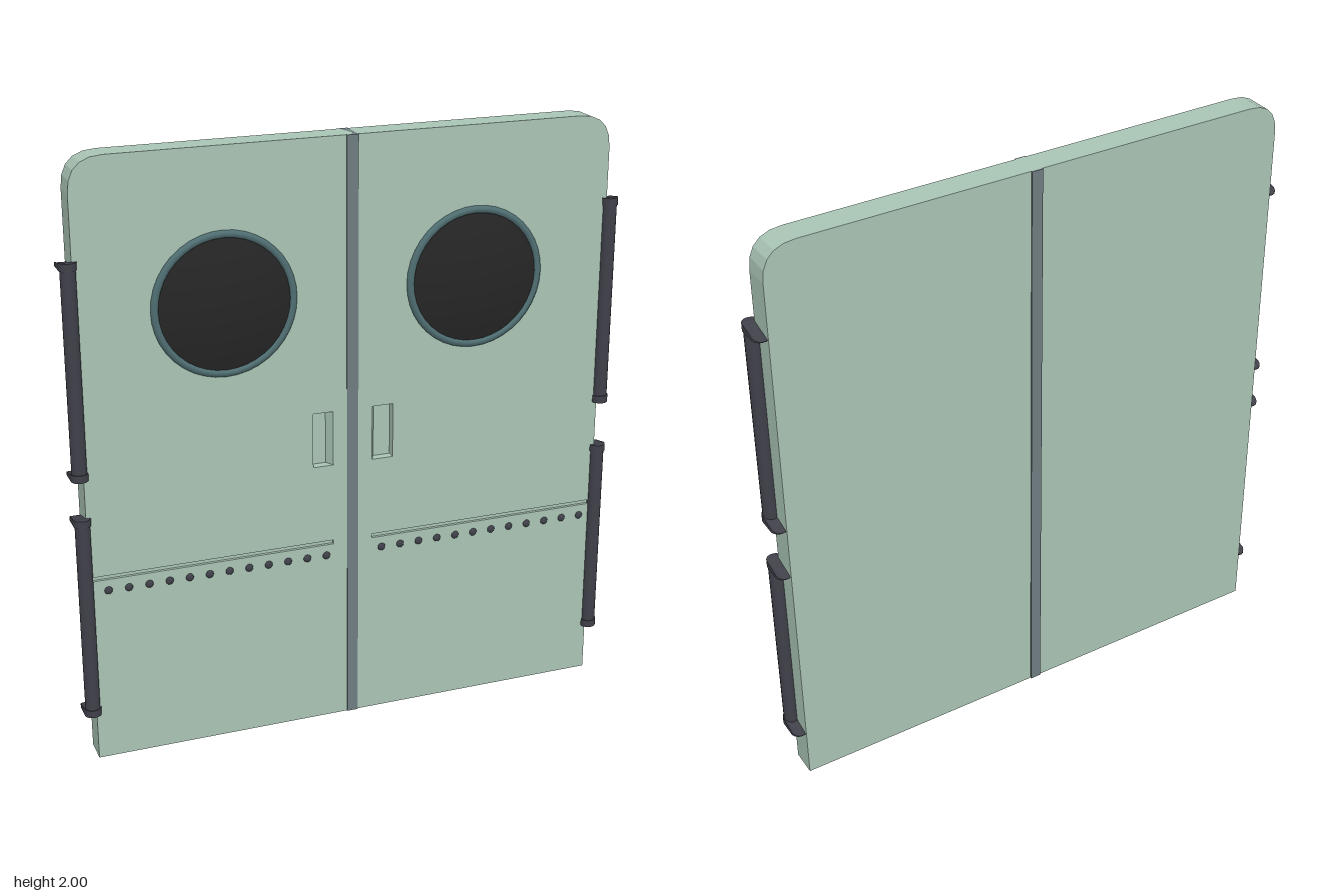
import * as THREE from 'three';

const mat = (color, extra = {}) => new THREE.MeshStandardMaterial({ color, ...extra });

export function createModel() {
  const group = new THREE.Group();
  group.name = 'doubleDoor';
  const paint = mat(0xa9c4b5, { flatShading: true });
  const seamMat = mat(0x6e7d80);
  const rimMat = mat(0x4f6e72);
  const glassMat = mat(0x262626);
  const metal = mat(0x40404a);

  const add = (name, geometry, material, x = 0, y = 0, z = 0, parent = group) => {
    const mesh = new THREE.Mesh(geometry, material);
    mesh.name = name;
    mesh.position.set(x, y, z);
    parent.add(mesh);
    return mesh;
  };

  // Door outline with rounded top corners
  const W = 0.888, R = 0.11;
  const outline = () => {
    const s = new THREE.Shape();
    s.moveTo(-W, 0);
    s.lineTo(W, 0);
    s.lineTo(W, 2 - R);
    s.quadraticCurveTo(W, 2, W - R, 2);
    s.lineTo(-W + R, 2);
    s.quadraticCurveTo(-W, 2, -W, 2 - R);
    s.closePath();
    return s;
  };
  const rectHole = (x0, x1, y0, y1) => {
    const p = new THREE.Path();
    p.moveTo(x0, y0);
    p.lineTo(x0, y1);
    p.lineTo(x1, y1);
    p.lineTo(x1, y0);
    p.closePath();
    return p;
  };

  // Front skin is pierced by handle pockets and grooves; back slab closes them
  const front = outline();
  front.holes.push(
    rectHole(-0.135, -0.066, 0.92, 1.105), rectHole(0.069, 0.142, 0.92, 1.105),
    rectHole(-0.88, -0.066, 0.638, 0.652), rectHole(0.069, 0.88, 0.638, 0.652));
  const slab = (shape, depth) =>
    new THREE.ExtrudeGeometry(shape, { depth, bevelEnabled: false, curveSegments: 5 });
  add('doorFront', slab(front, 0.03), paint);
  add('doorBack', slab(outline(), 0.06), paint, 0, 0, -0.06);

  // Centre seam
  add('centreSeam', new THREE.BoxGeometry(0.038, 2, 0.099), seamMat, 0, 1, -0.0155);

  const rimProfile = [[0.212, 0], [0.212, 0.008], [0.218, 0.014], [0.228, 0.014], [0.235, 0.006], [0.235, 0]]
    .map(([r, h]) => new THREE.Vector2(r, h)).reverse();
  const glassProfile = [];
  for (let i = 0; i <= 8; i++) {
    const r = 0.214 * (1 - i / 8);
    glassProfile.push(new THREE.Vector2(r, 0.007 + 0.026 * (1 - (r / 0.214) ** 2)));
  }
  const turned = (profile) => new THREE.LatheGeometry(profile, 40).rotateX(Math.PI / 2);

  // Cap with a stadium plan whose rear half tapers to a thin edge
  const capGeometry = () => {
    const s = new THREE.Shape();
    s.absarc(0, 0.0275, 0.0275, 0, Math.PI, false);
    s.absarc(0, -0.0275, 0.0275, Math.PI, 2 * Math.PI, false);
    s.closePath();
    const g = new THREE.ExtrudeGeometry(s, { depth: 0.025, bevelEnabled: false, curveSegments: 10 });
    g.rotateX(-Math.PI / 2);
    g.scale(1, 1, -1);
    // Restore the winding after the mirror
    const p = g.attributes.position;
    for (let i = 0; i < p.count; i += 3) {
      const a = [p.getX(i), p.getY(i), p.getZ(i)];
      p.setXYZ(i, p.getX(i + 1), p.getY(i + 1), p.getZ(i + 1));
      p.setXYZ(i + 1, ...a);
    }
    for (let i = 0; i < p.count; i++) {
      const z = p.getZ(i);
      if (p.getY(i) > 0.01 && z < 0) p.setY(i, Math.max(0.002, 0.025 + z * 0.42));
    }
    g.computeVertexNormals();
    return g;
  };
  const cap = capGeometry();

  const hinge = (x, y0, y1) => {
    const h = new THREE.Group();
    h.name = 'hinge';
    const length = y1 - y0;
    add('hingeBarrel', new THREE.CylinderGeometry(0.0245, 0.0245, length - 0.02, 16), metal, 0, length / 2, 0.0275, h);
    add('hingeLowerCap', cap, metal, 0, 0, 0, h);
    add('hingeUpperCap', cap, metal, 0, length - 0.025, 0, h);
    h.position.set(x, y0, 0);
    group.add(h);
  };

  for (const side of [-1, 1]) {
    // Porthole
    add('portholeRim', turned(rimProfile), rimMat.clone(), side * 0.42, 1.505, 0.028).material.side = THREE.DoubleSide;
    add('portholeGlass', turned(glassProfile), glassMat, side * 0.42, 1.505, 0.028).material.side = THREE.DoubleSide;

    // Sloped inner wall of the handle pocket
    const wedge = new THREE.Shape();
    const edge = side < 0 ? -0.066 : 0.069;
    wedge.moveTo(edge, 0);
    wedge.lineTo(edge + side * 0.016, 0);
    wedge.lineTo(edge, -0.03);
    wedge.closePath();
    add('handleWall', slab(wedge, 0.185).rotateX(-Math.PI / 2), paint, 0, 0.92, 0).position.y = 0.92;
    group.children.at(-1).geometry.computeVertexNormals();

    // Shallow groove floor
    const x0 = side < 0 ? -0.88 : 0.069, x1 = side < 0 ? -0.066 : 0.88;
    add('grooveFloor', new THREE.BoxGeometry(x1 - x0, 0.014, 0.02), paint, (x0 + x1) / 2, 0.645, 0.01);

    // Rivet row
    const start = side < 0 ? -0.828 : 0.105;
    for (let i = 0; i < 12; i++) {
      const rivet = new THREE.SphereGeometry(0.0135, 10, 6).scale(1, 1, 0.55);
      add('rivet', rivet, metal, start + i * 0.067, 0.6, 0.03);
    }

    // Hinges
    hinge(side * 0.9, 0.165, 0.86);
    if (side < 0) hinge(-0.9, 0.988, 1.688);
    else hinge(0.9, 1.015, 1.725);
  }

  return group;
}
